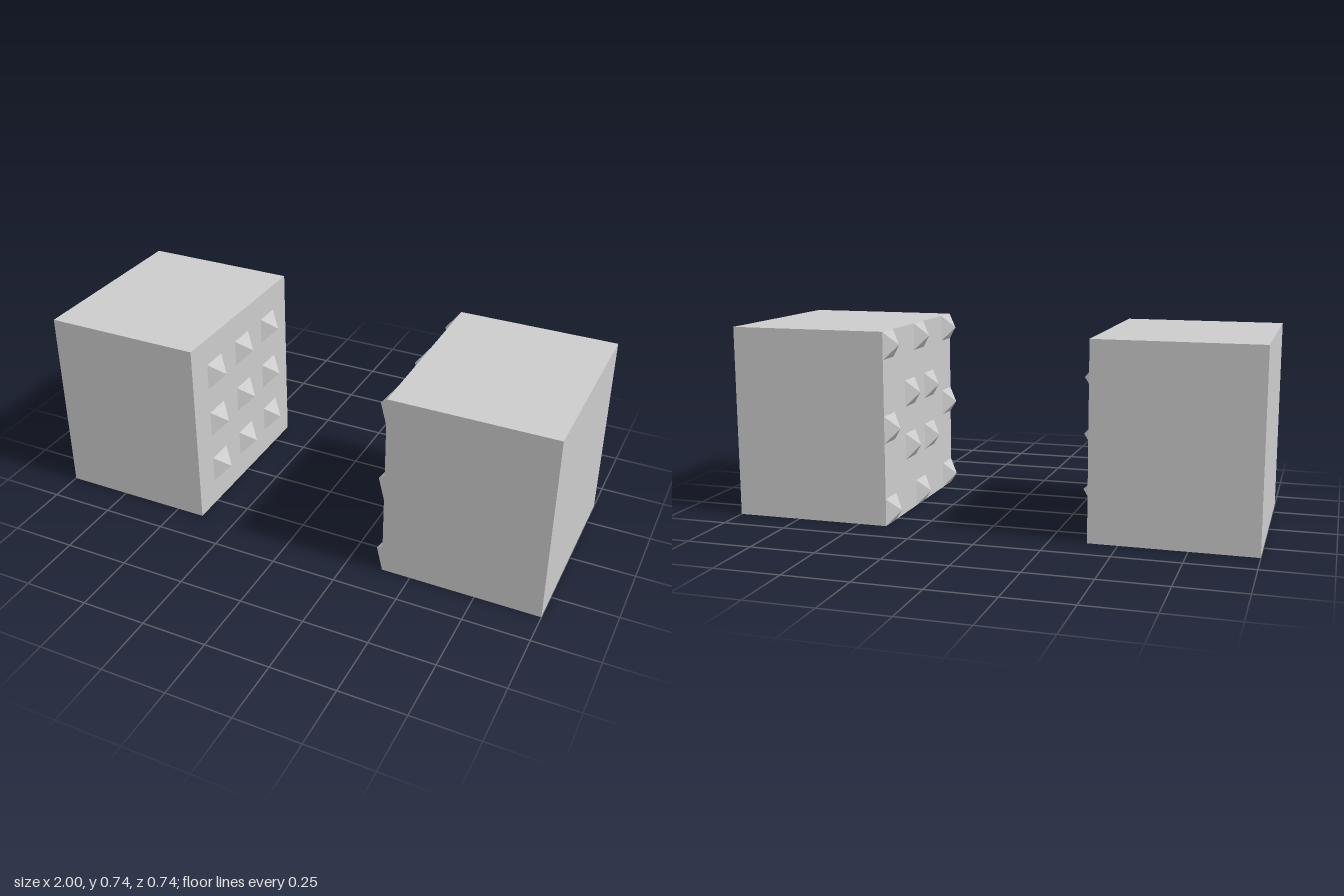
import * as THREE from 'three';

const SIZE = 0.737;   // height and depth of each block
const INNER = 0.388;  // x of the inner faces
const MID = SIZE / 2;
const HALF = 0.052;   // half the side of a stud's square base

export function createModel() {
  const group = new THREE.Group();
  const material = new THREE.MeshStandardMaterial({ color: 0xcccccc, flatShading: true });

  // A block on one side, with pyramid studs on its inner face at [y, z] offsets
  function addBlock(side, name, height, spots) {
    const half = new THREE.Group();
    half.name = name;

    const width = 1 - INNER;
    const block = new THREE.Mesh(new THREE.BoxGeometry(width, SIZE, SIZE), material);
    block.name = 'block';
    block.position.set(side * (INNER + width / 2), MID, 0);
    half.add(block);

    // Square pyramid, base on x = 0, tip towards the gap
    const studShape = new THREE.ConeGeometry(HALF * Math.SQRT2, height, 4, 1)
      .rotateY(Math.PI / 4)
      .translate(0, height / 2, 0)
      .rotateZ(side * Math.PI / 2);
    for (const [y, z] of spots) {
      const stud = new THREE.Mesh(studShape, material);
      stud.name = 'pyramidStud';
      stud.position.set(side * INNER, MID + y, z);
      half.add(stud);
    }
    group.add(half);
  }

  // Right block: even three by three grid
  const grid = [];
  // Left block: eight studs round the rim and four in the middle
  const ring = [];
  for (const i of [-1, 0, 1]) {
    for (const j of [-1, 0, 1]) {
      grid.push([i * 0.21, j * 0.21]);
      if (i || j) ring.push([i * 0.316, j * 0.316]);
      if (i && j) ring.push([i * 0.105, j * 0.105]);
    }
  }
  addBlock(-1, 'rightBlock', 0.051, grid);
  addBlock(1, 'leftBlock', 0.044, ring);
  return group;
}
